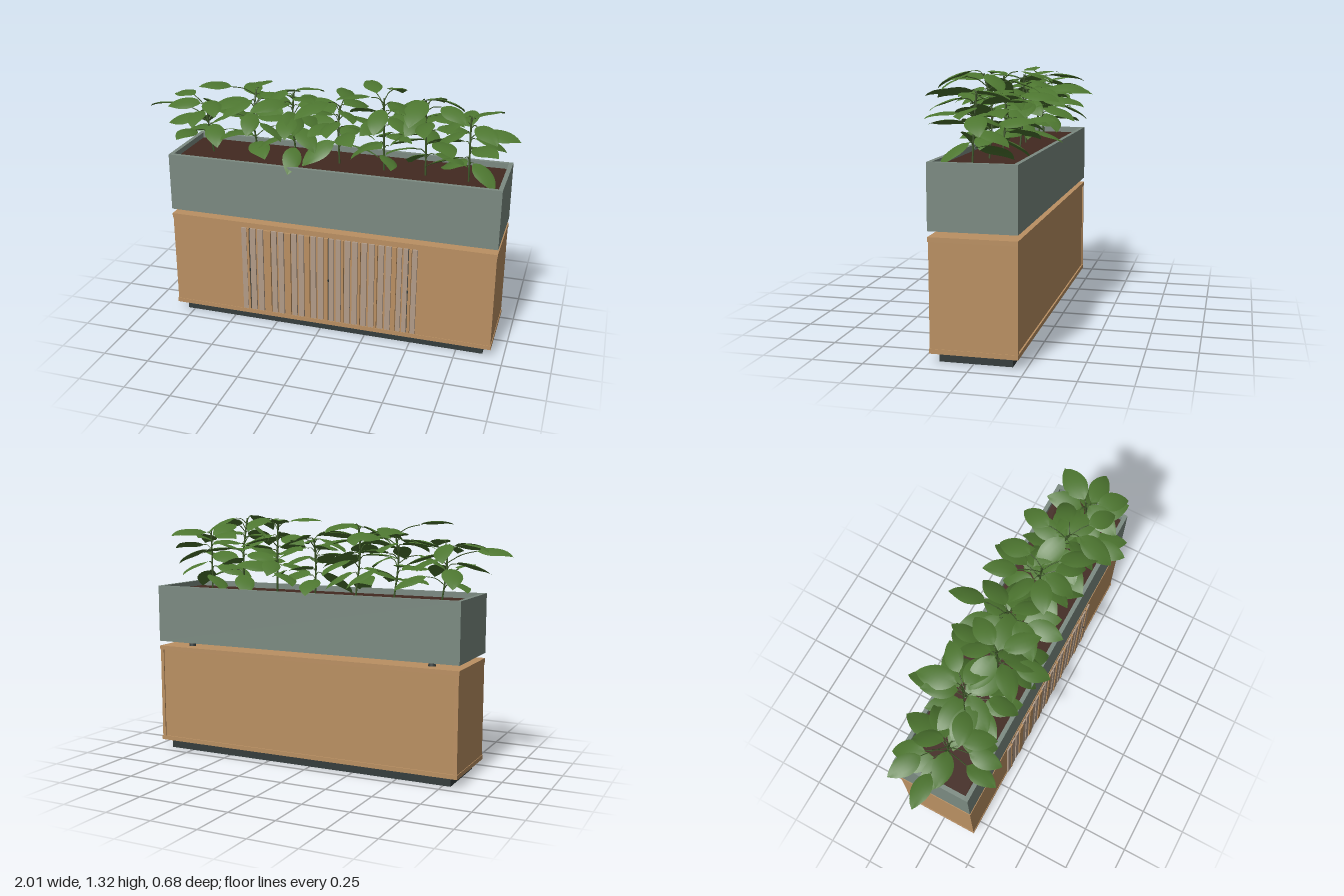
import * as THREE from 'three';

const mat = (name, color, side = THREE.FrontSide) => {
  const m = new THREE.MeshStandardMaterial({ color, side });
  m.name = name;
  return m;
};
const wood = mat('wood', 0xba9062);
const slatGrey = mat('slat grey', 0xb29c88);
const dark = mat('dark metal', 0x343c3c);
const stone = mat('planter grey', 0x7b8a81);
const soilMat = mat('soil', 0x422920);
const leafMat = mat('leaf green', 0x4d7630, THREE.DoubleSide);
const stemMat = mat('stem green', 0x3f5a2a);

const CX = 0.05, CZ = -0.01, W = 1.77, D = 0.42;

// Box given by its limits
function box(parent, name, material, x0, x1, y0, y1, z0, z1) {
  const m = new THREE.Mesh(new THREE.BoxGeometry(x1 - x0, y1 - y0, z1 - z0), material);
  m.position.set((x0 + x1) / 2, (y0 + y1) / 2, (z0 + z1) / 2);
  m.name = name;
  parent.add(m);
}

function seeded(seed) {
  return () => {
    seed = (seed * 16807) % 2147483647;
    return seed / 2147483647;
  };
}

// Pointed oval leaf of unit length along +x, folded at the midrib, tip curving down
function leafGeometry() {
  const n = 10, across = [-1, -0.55, 0, 0.55, 1], pos = [], index = [];
  for (let i = 0; i <= n; i++) {
    const t = i / n;
    const half = 0.28 * Math.pow(Math.sin(Math.PI * Math.pow(t, 0.85)), 0.8) * (i === n ? 0 : 1);
    for (const a of across) {
      const z = a * half;
      pos.push(t, 0.3 * t * (1 - t) - 0.06 * t * t + Math.abs(z) * 0.2 - z * z * 1.2, z);
    }
  }
  const k = across.length;
  for (let i = 0; i < n; i++) {
    for (let j = 0; j < k - 1; j++) {
      const a = i * k + j, b = a + 1, c = a + k, d = c + 1;
      index.push(a, b, c, b, d, c);
    }
  }
  const g = new THREE.BufferGeometry();
  g.setAttribute('position', new THREE.Float32BufferAttribute(pos, 3));
  g.setIndex(index);
  g.computeVertexNormals();
  return g;
}

function tube(parent, name, points, radius) {
  const curve = new THREE.CatmullRomCurve3(points);
  const m = new THREE.Mesh(new THREE.TubeGeometry(curve, 8, radius, 5), stemMat);
  m.name = name;
  parent.add(m);
  return curve;
}

// One plant: bent stem with leaves spiralling up it on thin stalks; the first leaf sits at mid height
function plant(x, z, top, count, reach, firstAngle, leafGeo, seed) {
  const g = new THREE.Group();
  g.name = 'plant';
  const rnd = seeded(seed);
  const vary = (amount) => (rnd() - 0.5) * amount;
  const base = 0.9;
  const stem = tube(g, 'stem', [
    new THREE.Vector3(x, base, z),
    new THREE.Vector3(x + vary(0.04), base + (top - base) * 0.5, z + vary(0.04)),
    new THREE.Vector3(x + vary(0.08), top - 0.07, z + vary(0.08)),
  ], 0.005);
  for (let i = 0; i < count; i++) {
    const f = (i / count + 0.5) % 1;
    const from = stem.getPoint(0.15 + 0.85 * f);
    const angle = firstAngle + i * 2.4 + (i ? vary(0.6) : 0);
    const dir = new THREE.Vector3(Math.cos(angle), 0, Math.sin(angle));
    const size = 0.17 + rnd() * 0.045;
    // Leaves reach further across the trough than along it
    const out = i ? reach * (0.5 + 0.5 * rnd()) * (0.85 + 0.25 * Math.abs(dir.z)) : reach;
    const stalk = Math.max(0.025, out - size);
    const end = from.clone().addScaledVector(dir, stalk);
    end.y += 0.01 + stalk * 0.35;
    const mid = from.clone().lerp(end, 0.5);
    mid.y += 0.012;
    tube(g, 'leaf stalk', [from, mid, end], 0.0025);
    const leaf = new THREE.Mesh(leafGeo, leafMat);
    leaf.name = 'leaf';
    leaf.position.copy(end);
    leaf.rotation.order = 'YZX';
    if (i) leaf.rotation.set(vary(0.9), vary(0.7) - angle, -0.2 + vary(0.7) + f * 0.1);
    else leaf.rotation.set(0.3, -angle, -0.08);
    leaf.scale.setScalar(size);
    g.add(leaf);
  }
  return g;
}

export function createModel() {
  const root = new THREE.Group();
  root.name = 'planterCabinet';
  const x0 = CX - W / 2, x1 = CX + W / 2, z0 = CZ - D / 2, z1 = CZ + D / 2;

  // Cabinet carcass on a recessed plinth
  const cabinet = new THREE.Group();
  cabinet.name = 'cabinet';
  root.add(cabinet);
  box(cabinet, 'plinth', dark, x0 + 0.045, x1 - 0.045, 0, 0.051, z0 + 0.035, z1 - 0.035);
  box(cabinet, 'bottomBoard', wood, x0, x1, 0.05, 0.073, z0, z1);
  box(cabinet, 'topBoard', wood, x0, x1, 0.573, 0.595, z0, z1);
  box(cabinet, 'leftSide', wood, x1 - 0.022, x1 - 0.003, 0.073, 0.573, z0 + 0.002, z1 - 0.003);
  box(cabinet, 'rightSide', wood, x0 + 0.003, x0 + 0.022, 0.073, 0.573, z0 + 0.002, z1 - 0.003);
  box(cabinet, 'body', wood, x0 + 0.022, x1 - 0.022, 0.073, 0.573, z0 + 0.008, z1 - 0.003);

  // Slatted front: wooden uprights with a pair of grey slats in each bay
  const front = new THREE.Group();
  front.name = 'slattedFront';
  cabinet.add(front);
  const uprights = [
    [-0.4, -0.388], [-0.302, -0.265], [-0.185, -0.152], [-0.072, -0.045], [0.035, 0.056],
    [0.132, 0.142], [0.223, 0.233], [0.314, 0.324], [0.404, 0.425], [0.49, 0.504],
  ];
  box(front, 'greySlat', slatGrey, -0.43, -0.402, 0.08, 0.565, z1 - 0.004, z1 + 0.008);
  box(front, 'greySlat', slatGrey, 0.507, 0.533, 0.08, 0.565, z1 - 0.004, z1 + 0.008);
  uprights.forEach(([a, b], i) => {
    box(front, 'woodSlat', wood, a, b, 0.08, 0.565, z1 - 0.004, z1 + 0.01);
    if (i === uprights.length - 1) return;
    const gap = uprights[i + 1][0] - b;
    for (const s of [0.06, 0.56]) {
      const x = b + gap * s;
      box(front, 'greySlat', slatGrey, x, x + gap * 0.36, 0.08, 0.565, z1 - 0.004, z1 + 0.007);
    }
  });
  for (const x of [-0.386, 0.058, 0.488]) {
    box(front, 'doorJoint', dark, x - 0.002, x + 0.002, 0.08, 0.565, z1 - 0.004, z1 + 0.002);
    box(front, 'doorCatch', dark, x - 0.004, x + 0.004, 0.315, 0.33, z1 - 0.004, z1 + 0.01);
  }

  // Planter trough standing on four tapered feet
  const trough = new THREE.Group();
  trough.name = 'trough';
  root.add(trough);
  const t = 0.022, y0 = 0.622, y1 = 0.935;
  box(trough, 'floor', stone, x0 + t, x1 - t, y0, y0 + t, z0 + t, z1 - t);
  box(trough, 'frontWall', stone, x0, x1, y0, y1, z1 - t, z1);
  box(trough, 'backWall', stone, x0, x1, y0, y1, z0, z0 + t);
  box(trough, 'leftWall', stone, x1 - t, x1, y0, y1, z0 + t, z1 - t);
  box(trough, 'rightWall', stone, x0, x0 + t, y0, y1, z0 + t, z1 - t);
  box(trough, 'soil', soilMat, x0 + t, x1 - t, y0 + t, 0.905, z0 + t, z1 - t);
  const footGeo = new THREE.CylinderGeometry(0.015, 0.02, 0.029, 16);
  for (const sx of [-1, 1]) {
    for (const sz of [-1, 1]) {
      const foot = new THREE.Mesh(footGeo, dark);
      foot.name = 'foot';
      foot.position.set(CX + sx * 0.716, 0.6085, CZ + sz * 0.133);
      trough.add(foot);
    }
  }

  // Row of leafy plants: x, z, top, leaf count, reach, first leaf direction
  const plants = new THREE.Group();
  plants.name = 'plants';
  root.add(plants);
  const leafGeo = leafGeometry();
  [
    [-0.66, 0.0, 1.26, 15, 0.34, Math.PI],
    [-0.41, -0.03, 1.33, 18, 0.31, 4.6],
    [-0.18, 0.0, 1.35, 18, 0.29, 4.9],
    [0.05, -0.02, 1.28, 17, 0.29, 1.5],
    [0.3, 0.01, 1.36, 18, 0.29, 4.9],
    [0.52, 0.02, 1.38, 18, 0.32, 1.4],
    [0.745, 0.04, 1.31, 14, 0.25, 0],
  ].forEach((p, i) => plants.add(plant(...p, leafGeo, 911 + i * 7717)));

  return root;
}
